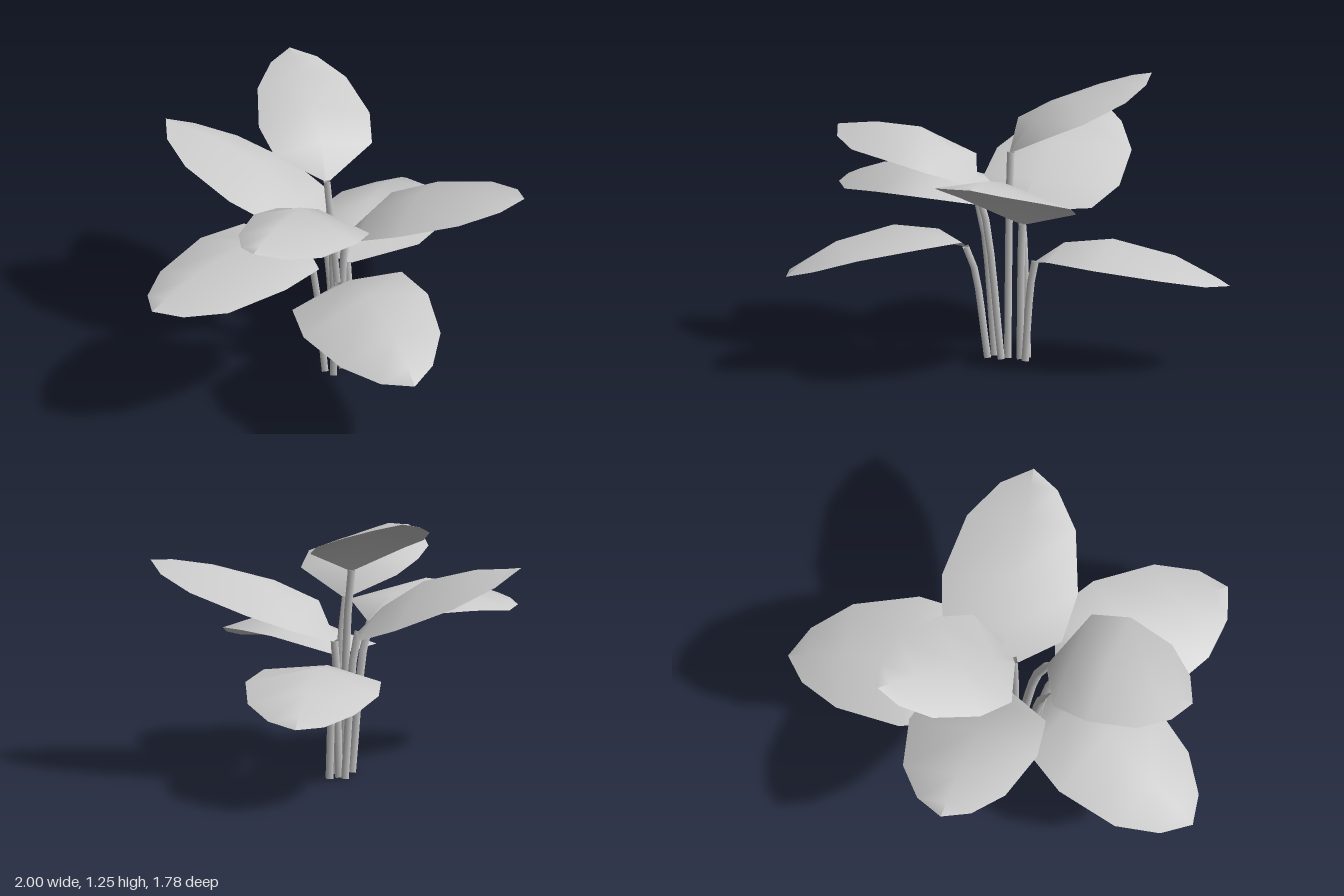
import * as THREE from 'three';

const material = new THREE.MeshStandardMaterial({ color: 0xcccccc, side: THREE.DoubleSide });

// Blade rows: [fraction along midrib, fraction of half width, fraction of camber]
const ROWS = [[0, 0.06, 0], [0.15, 0.88, 0.5], [0.4, 1, 1], [0.72, 0.8, 0.8], [0.91, 0.42, 0.35], [1, 0, 0]];

// foot, base and tip as [x, z]; rib = midrib height at each row;
// half = width of the two sides; roll = sideways tilt; camber = droop of the edges
const LEAVES = [
  { foot: [-0.02, -0.03], base: [-0.13, -0.05], tip: [-1, -0.2], rib: [0.67, 0.775, 0.82, 0.755, 0.695, 0.66], half: [0.305, 0.295], roll: 0, camber: 0.11 },
  { foot: [0.12, -0.09], base: [0.06, -0.12], tip: [-0.11, -0.89], rib: [0.66, 0.78, 0.91, 0.98, 0.995, 1.005], half: [0.33, 0.28], roll: 0.18, camber: 0.11 },
  { foot: [0.055, -0.03], base: [0.04, -0.07], tip: [0.41, -0.61], rib: [0.93, 1.07, 1.165, 1.225, 1.245, 1.25], half: [0.265, 0.245], roll: 0, camber: 0.07 },
  { foot: [0.155, -0.03], base: [0.18, -0.07], tip: [1, -0.44], rib: [0.45, 0.545, 0.575, 0.515, 0.435, 0.39], half: [0.33, 0.275], roll: -0.07, camber: 0.1 },
  { foot: [0.11, -0.05], base: [0.13, -0.04], tip: [0.46, 0.73], rib: [0.62, 0.77, 0.885, 0.945, 0.955, 0.955], half: [0.29, 0.325], roll: -0.08, camber: 0.08 },
  { foot: [-0.02, 0.02], base: [-0.08, 0.1], tip: [-0.47, 0.89], rib: [0.51, 0.605, 0.645, 0.595, 0.51, 0.455], half: [0.315, 0.285], roll: 0.15, camber: 0.1 },
  { foot: [0.05, 0.01], base: [-0.07, 0.04], tip: [-0.75, 0.18], rib: [0.78, 0.925, 1.02, 1.02, 1.0, 0.99], half: [0.23, 0.3], roll: 0, camber: 0.1 },
];

// Blade: three columns (edge, midrib, edge) along an arched midrib
function bladeGeometry({ base, tip, rib, half, roll, camber }) {
  const a = new THREE.Vector3(base[0], 0, base[1]);
  const b = new THREE.Vector3(tip[0], 0, tip[1]);
  const dir = b.clone().sub(a).normalize();
  const side = new THREE.Vector3(dir.z, roll, -dir.x);
  const positions = [], index = [];
  ROWS.forEach(([t, w, droop], row) => {
    const p = a.clone().lerp(b, t).setY(rib[row]);
    for (const s of [-half[0], 0, half[1]]) {
      const q = p.clone().addScaledVector(side, s * w);
      if (s !== 0) q.y -= droop * camber;
      positions.push(q.x, q.y, q.z);
    }
    if (row === 0) return;
    for (let c = 0; c < 2; c++) {
      const i = (row - 1) * 3 + c, j = i + 3;
      index.push(i, i + 1, j);
      if (row < ROWS.length - 1) index.push(i + 1, j + 1, j);
    }
  });
  const g = new THREE.BufferGeometry();
  g.setAttribute('position', new THREE.Float32BufferAttribute(positions, 3));
  g.setIndex(index);
  g.computeVertexNormals();
  return g;
}

// Stem: slim, nearly straight stalk that bends into the blade at the top
function stemGeometry({ foot, base, rib }) {
  const a = new THREE.Vector3(foot[0], 0, foot[1]);
  const b = new THREE.Vector3(base[0], rib[0], base[1]);
  const bend = a.clone().lerp(b, 0.6).setY(rib[0] * 0.8);
  const path = new THREE.CatmullRomCurve3([a, bend, b]);
  return new THREE.TubeGeometry(path, 5, 0.021, 4, false);
}

export function createModel() {
  const plant = new THREE.Group();
  plant.name = 'leafyPlant';
  LEAVES.forEach((spec, i) => {
    const leaf = new THREE.Group();
    leaf.name = `leaf${i + 1}`;
    const blade = new THREE.Mesh(bladeGeometry(spec), material);
    blade.name = 'blade';
    const stem = new THREE.Mesh(stemGeometry(spec), material);
    stem.name = 'stem';
    leaf.add(blade, stem);
    plant.add(leaf);
  });
  return plant;
}
